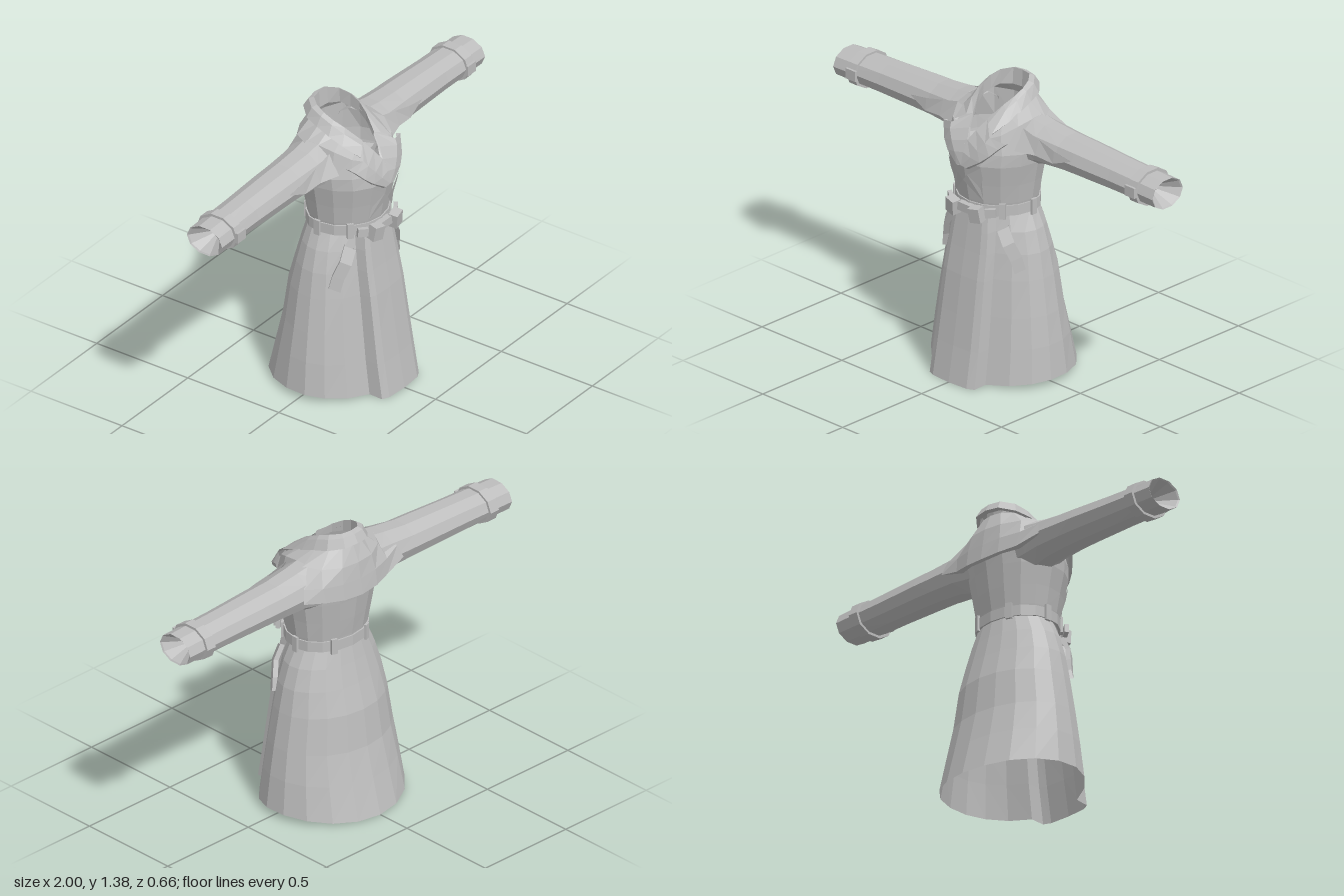
import * as THREE from 'three';

const cloth = new THREE.MeshStandardMaterial({ color: 0xbdbdbd, side: THREE.DoubleSide });
cloth.name = 'grey cloth';

// Faceted skin over rows of [x, y, z] points
function loft(name, rows, closed = false) {
  const pos = [];
  for (let r = 0; r < rows.length - 1; r++) {
    const A = rows[r], B = rows[r + 1], n = A.length;
    for (let i = 0; i < (closed ? n : n - 1); i++) {
      const j = (i + 1) % n;
      pos.push(...A[i], ...A[j], ...B[j], ...A[i], ...B[j], ...B[i]);
    }
  }
  const g = new THREE.BufferGeometry();
  g.setAttribute('position', new THREE.Float32BufferAttribute(pos, 3));
  g.computeVertexNormals();
  return mesh(name, g);
}
function mesh(name, g) {
  const m = new THREE.Mesh(g, cloth);
  m.name = name;
  return m;
}
function box(name, size, at, rot = [0, 0, 0]) {
  const m = mesh(name, new THREE.BoxGeometry(...size));
  m.position.set(...at);
  m.rotation.set(...rot);
  return m;
}
const flip = ([x, y, z]) => [-x, y, z];
// Half ring (front to back on +x) completed to a full ring
const fullRing = (h) => [...h, ...h.slice(1, -1).reverse().map(flip)];
// Strip that starts at the centre line, mirrored across it
const fullStrip = (h) => [...h.slice(1).reverse().map(flip), ...h];

// Half ring of the torso
function halfRing(y, w, zf, zb) {
  return Array.from({ length: 9 }, (_, i) => {
    const a = (i * Math.PI) / 8, c = Math.cos(a);
    return [i % 8 ? w * Math.sin(a) : 0, y, c * (c > 0 ? zf : zb)];
  });
}

// Skirt levels: y, half width, front depth, back depth, panel half width
const skirtLevels = [
  [0, 0.355, 0.33, 0.33, 0.14], [0.17, 0.338, 0.3, 0.285, 0.137],
  [0.32, 0.318, 0.277, 0.248, 0.132], [0.5, 0.29, 0.25, 0.226, 0.126],
  [0.62, 0.267, 0.227, 0.192, 0.12], [0.72, 0.236, 0.21, 0.166, 0.112],
  [0.81, 0.192, 0.195, 0.145, 0.1],
];
function skirtHalf([y, w, zf, zb, p]) {
  const lift = 0.03 * Math.max(0, 1 - y / 0.5);
  const pts = [[0, y, zf], [p * 0.75, y, zf * 0.98], [p, y, zf * 0.93]];
  const a0 = Math.asin((p + 0.004) / w), side = zf * 0.8;
  for (let i = 0; i <= 8; i++) {
    const a = a0 + ((Math.PI - a0) * i) / 8, s = Math.sin(a), c = Math.cos(a);
    pts.push([i === 8 ? 0 : w * s, y + lift * s * s, c * (c > 0 ? side : zb)]);
  }
  return pts;
}

// Sleeve ring around the x axis
function sleeveRing(x, yc, ry, zc, rz) {
  return Array.from({ length: 10 }, (_, i) => {
    const a = ((i + 0.5) * Math.PI) / 5;
    return [x, yc + ry * Math.cos(a) * 1.03, zc + rz * Math.sin(a)];
  });
}

// Sleeve, cuff strap, lapel and pocket of the left side
function sideParts() {
  const g = new THREE.Group();
  g.add(loft('sleeve', [
    sleeveRing(0.15, 1.135, 0.11, -0.04, 0.12), sleeveRing(0.2, 1.142, 0.112, -0.04, 0.12),
    sleeveRing(0.27, 1.145, 0.096, -0.04, 0.114), sleeveRing(0.4, 1.142, 0.085, -0.045, 0.107),
    sleeveRing(0.5, 1.141, 0.082, -0.046, 0.105), sleeveRing(0.72, 1.136, 0.076, -0.047, 0.098),
    sleeveRing(1, 1.13, 0.07, -0.047, 0.097), sleeveRing(0.995, 1.13, 0.064, -0.047, 0.09),
    sleeveRing(0.88, 1.13, 0.002, -0.047, 0.002),
  ], true));
  // Cuff strap with its buckle
  const strap = (x, k) => sleeveRing(x, 1.132, 0.07 + k, -0.047, 0.097 + k);
  g.add(loft('cuffStrap', [strap(0.855, 0), strap(0.855, 0.014), strap(0.905, 0.014), strap(0.905, 0)], true));
  g.add(box('cuffBuckle', [0.06, 0.05, 0.012], [0.875, 1.135, 0.062]));
  // Raised shoulder flap running to a point on the front of the sleeve
  g.add(loft('shoulderFlap', [
    [[0.2, 1.225, 0.06], [0.3, 1.2, 0.06], [0.4, 1.178, 0.066], [0.5, 1.16, 0.062]],
    [[0.2, 1.13, 0.115], [0.3, 1.13, 0.084], [0.4, 1.12, 0.074], [0.5, 1.158, 0.062]],
  ]));
  // Lapel, folded from the neckline to a pointed tip
  g.add(loft('lapel', [
    [[0.045, 1.24, 0.13], [0.022, 1.195, 0.178], [0, 1.152, 0.21], [0, 1.1, 0.238], [-0.03, 1.05, 0.248]],
    [[0.12, 1.195, 0.192], [0.11, 1.17, 0.21], [0.08, 1.13, 0.23], [0.05, 1.09, 0.243], [0, 1.04, 0.252]],
    [[0.195, 1.175, 0.165], [0.17, 1.15, 0.188], [0.14, 1.115, 0.215], [0.1, 1.08, 0.235], [0.03, 1.035, 0.25]],
    [[0.19, 1.17, 0.145], [0.165, 1.145, 0.168], [0.135, 1.11, 0.195], [0.098, 1.072, 0.215], [0.03, 1.025, 0.235]],
  ]));
  // Crossed front fold under the lapel
  g.add(loft('frontFold', [
    [[0.1, 1.05, 0.228], [0.03, 1.0, 0.243], [0, 0.965, 0.238]],
    [[0.1, 0.99, 0.214], [0.08, 0.94, 0.21], [0.09, 0.87, 0.195]],
  ]));
  // Slanted pocket welt lying on the skirt
  const outer = [[0.148, 0.735, 0.17], [0.185, 0.67, 0.172], [0.212, 0.6, 0.15], [0.226, 0.54, 0.14]];
  const move = (d) => outer.map(([x, y, z]) => [x + d[0], y + d[1], z + d[2]]);
  g.add(loft('pocketWelt', [
    move([-0.012, -0.004, -0.025]), outer, move([0.03, 0.022, -0.042]), move([0.012, 0.018, -0.055]),
  ]));
  // Belt loops
  g.add(box('beltLoop', [0.012, 0.075, 0.03], [0.208, 0.825, 0]));
  g.add(box('beltLoop', [0.03, 0.075, 0.012], [0.15, 0.825, 0.14], [0, 0.7, 0]));
  g.add(box('beltLoop', [0.03, 0.075, 0.012], [0.1, 0.825, -0.139], [0, -0.35, 0]));
  return g;
}

export function createModel() {
  const coat = new THREE.Group();
  coat.name = 'beltedCoat';

  coat.add(loft('skirt', skirtLevels.map((l) => fullRing(skirtHalf(l))), true));

  // Torso rising to the shoulders and the V neckline
  const shoulder = [[0, 1.13, 0.222], [0.08, 1.17, 0.2], [0.15, 1.2, 0.15], [0.19, 1.235, 0.08],
    [0.2, 1.25, 0], [0.2, 1.25, -0.06], [0.17, 1.245, -0.13], [0.09, 1.24, -0.175], [0, 1.24, -0.185]];
  const neck = [[0, 1.15, 0.195], [0.025, 1.19, 0.165], [0.05, 1.235, 0.12], [0.08, 1.28, 0.06],
    [0.1, 1.305, 0], [0.105, 1.315, -0.05], [0.09, 1.32, -0.1], [0.05, 1.32, -0.135], [0, 1.32, -0.145]];
  coat.add(loft('torso', [
    halfRing(0.79, 0.185, 0.185, 0.14), halfRing(0.86, 0.2, 0.2, 0.15),
    halfRing(0.95, 0.215, 0.217, 0.165), halfRing(1.05, 0.235, 0.238, 0.18),
    halfRing(1.11, 0.24, 0.23, 0.19), shoulder, neck,
  ].map(fullRing), true));

  // Loose cape over the upper back
  coat.add(loft('backYoke', [
    [[0, 1.32, -0.155], [0.055, 1.32, -0.145], [0.1, 1.315, -0.11], [0.115, 1.31, -0.05]],
    [[0, 1.24, -0.192], [0.09, 1.24, -0.182], [0.175, 1.245, -0.135], [0.22, 1.25, -0.06]],
    [[0, 1.16, -0.205], [0.1, 1.165, -0.197], [0.2, 1.17, -0.168], [0.29, 1.19, -0.14]],
    [[0, 1.085, -0.217], [0.1, 1.09, -0.208], [0.19, 1.1, -0.182], [0.31, 1.13, -0.16]],
    [[0, 1.09, -0.185], [0.1, 1.095, -0.178], [0.18, 1.1, -0.15], [0.29, 1.13, -0.14]],
  ].map(fullStrip)));

  // Folded collar: stand, top edge, fall
  coat.add(loft('collar', [
    [[0, 1.3, -0.135], [0.05, 1.3, -0.127], [0.09, 1.3, -0.09], [0.1, 1.29, -0.04],
      [0.098, 1.28, 0.01], [0.08, 1.26, 0.06], [0.045, 1.22, 0.125]],
    [[0, 1.38, -0.14], [0.05, 1.38, -0.132], [0.085, 1.372, -0.09], [0.1, 1.355, -0.04],
      [0.098, 1.332, 0.01], [0.08, 1.302, 0.06], [0.045, 1.243, 0.13]],
    [[0, 1.372, -0.165], [0.06, 1.37, -0.155], [0.105, 1.36, -0.105], [0.118, 1.343, -0.045],
      [0.118, 1.318, 0.015], [0.105, 1.285, 0.075], [0.07, 1.235, 0.148]],
    [[0, 1.335, -0.187], [0.07, 1.33, -0.177], [0.125, 1.315, -0.118], [0.143, 1.3, -0.05],
      [0.148, 1.275, 0.02], [0.142, 1.245, 0.09], [0.118, 1.205, 0.175]],
    [[0, 1.33, -0.165], [0.065, 1.325, -0.157], [0.115, 1.31, -0.108], [0.132, 1.295, -0.048],
      [0.138, 1.268, 0.02], [0.132, 1.24, 0.08], [0.11, 1.198, 0.165]],
  ].map(fullStrip)));

  // Belt and its knot
  const belt = (y, k) => fullRing(halfRing(y, 0.19 + k, 0.19 + k, 0.142 + k));
  coat.add(loft('belt', [belt(0.85, 0), belt(0.85, 0.014), belt(0.8, 0.014), belt(0.8, 0)], true));
  coat.add(box('beltKnot', [0.09, 0.04, 0.03], [0, 0.822, 0.215]));
  for (const s of [-1, 1]) {
    coat.add(box('beltBow', [0.058, 0.07, 0.045], [0.073 * s, 0.815, 0.226], [0.12, 0.2 * s, 0.12 * s]));
    coat.add(box('beltTail', [0.05, 0.04, 0.02], [0.125 * s, 0.825, 0.19], [0, 0.6 * s, 0.1 * s]));
  }

  const left = sideParts();
  left.name = 'leftSide';
  const right = sideParts();
  right.name = 'rightSide';
  right.scale.x = -1;
  coat.add(left, right);
  return coat;
}
